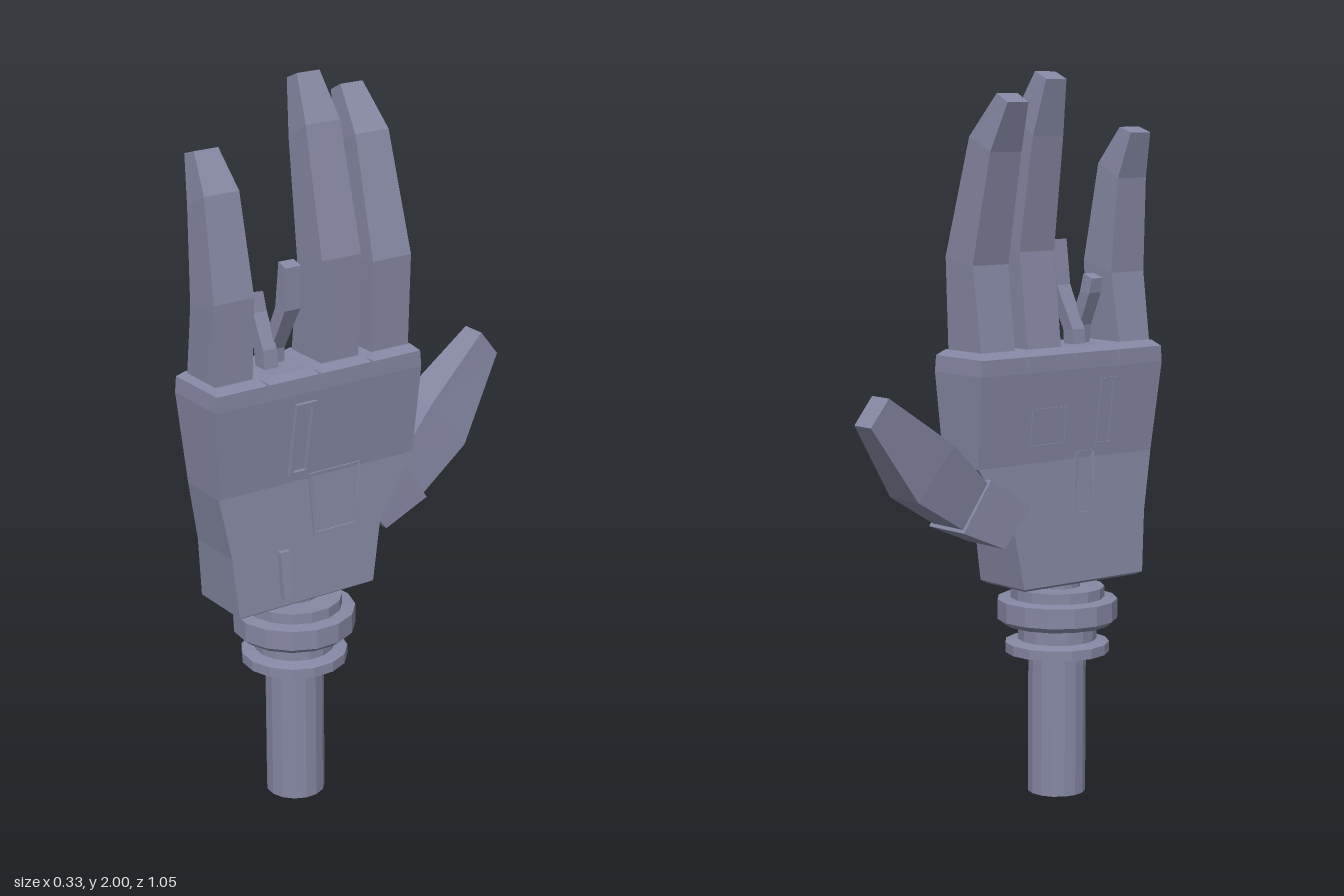
import * as THREE from 'three';

const metal = new THREE.MeshStandardMaterial({ color: 0x8688a4, flatShading: true });
metal.name = 'bluish grey metal';

// Joins cross-sections of equal point count into a closed solid.
function loft(rings) {
  const pos = [];
  const n = rings[0].length;
  const tri = (a, b, c) => pos.push(...a, ...b, ...c);
  for (let r = 0; r < rings.length - 1; r++) {
    const lo = rings[r], hi = rings[r + 1];
    for (let i = 0; i < n; i++) {
      const j = (i + 1) % n;
      tri(lo[i], lo[j], hi[j]);
      tri(lo[i], hi[j], hi[i]);
    }
  }
  const first = rings[0], last = rings[rings.length - 1];
  for (let i = 1; i < n - 1; i++) {
    tri(first[0], first[i + 1], first[i]);
    tri(last[0], last[i], last[i + 1]);
  }
  const geo = new THREE.BufferGeometry();
  geo.setAttribute('position', new THREE.Float32BufferAttribute(pos, 3));
  geo.computeVertexNormals();
  return geo;
}

// Upright section; ya and yb are the heights of its -x and +x edges.
const section = (xa, xb, z0, z1, ya, yb = ya) =>
  [[xa, ya, z1], [xb, yb, z1], [xb, yb, z0], [xa, ya, z0]];

// Thumb section between an upper and a lower [z, y] point.
const thumbSection = (xa, xb, up, low) => [
  [xb, low[1], low[0]], [xa, low[1], low[0]], [xa, up[1], up[0]], [xb, up[1], up[0]],
];

// Half thickness of the palm at a given height.
function palmHalf(y) {
  return y < 0.95
    ? THREE.MathUtils.mapLinear(y, 0.61, 0.95, 0.095, 0.076)
    : THREE.MathUtils.mapLinear(y, 0.95, 1.2, 0.076, 0.1);
}

// Raised frame with a sunken middle, following the slope of the palm face.
function palmPanel(side, corners, height, border) {
  const pts = corners.map(([z, y]) => new THREE.Vector2(-side * z, y));
  const mid = pts.reduce((s, p) => s.add(p), new THREE.Vector2()).divideScalar(4);
  const inner = pts.map((p) => new THREE.Vector2(
    p.x - Math.sign(p.x - mid.x) * border, p.y - Math.sign(p.y - mid.y) * border));
  const shape = new THREE.Shape(pts);
  shape.holes.push(new THREE.Path(inner));
  const geo = new THREE.ExtrudeGeometry(shape, { depth: height + 0.01, bevelEnabled: false });
  const p = geo.attributes.position;
  for (let i = 0; i < p.count; i++) {
    const a = p.getX(i), y = p.getY(i), c = p.getZ(i) - 0.01;
    p.setXYZ(i, side * (palmHalf(y) + c), y, -side * a);
  }
  geo.computeVertexNormals();
  return geo;
}

export function createModel() {
  const hand = new THREE.Group();
  hand.name = 'mechanicalHand';
  const add = (name, geo) => {
    const mesh = new THREE.Mesh(geo, metal);
    mesh.name = name;
    hand.add(mesh);
    return mesh;
  };

  // Wrist rod and stepped collar, fifteen-sided
  const turned = (name, profile) => {
    const geo = new THREE.LatheGeometry(
      profile.map(([r, y]) => new THREE.Vector2(r, y)), 15, -Math.PI / 2);
    add(name, geo).position.z = 0.227;
  };
  turned('wristRod', [[0, 0], [0.081, 0], [0.081, 0.41], [0, 0.41]]);
  turned('wristCollar', [
    [0, 0.4], [0.146, 0.4], [0.146, 0.428], [0.11, 0.436], [0.11, 0.475], [0.15, 0.48],
    [0.168, 0.495], [0.168, 0.55], [0.132, 0.555], [0.132, 0.585], [0.064, 0.585],
    [0.064, 0.61], [0, 0.61],
  ]);

  // Palm
  const palmLevels = [
    [0.61, 0.03, 0.46], [0.78, 0.0, 0.474], [0.95, -0.113, 0.505], [1.2, -0.123, 0.523],
  ];
  add('palm', loft([
    section(-0.083, 0.083, 0.042, 0.448, 0.602),
    ...palmLevels.map(([y, z0, z1]) => section(-palmHalf(y), palmHalf(y), z0, z1, y)),
  ]));

  // Bevelled knuckle blocks
  for (const [z0, z1] of [[-0.123, 0.036], [0.036, 0.202], [0.202, 0.362], [0.362, 0.523]]) {
    add('knuckle', loft([
      section(-0.1, 0.1, z0, z1, 1.2),
      section(-0.1, 0.1, z0 + 0.004, z1 - 0.004, 1.244),
      section(-0.08, 0.08, z0 + 0.02, z1 - 0.02, 1.26),
    ]));
  }

  // Curved fingers: each section is [xa, ya, xb, yb, half width]
  const fingers = {
    indexFinger: [-0.04, [
      [-0.07, 1.24, 0.072, 1.24, 0.058], [-0.036, 1.49, 0.08, 1.51, 0.061],
      [-0.1, 1.79, -0.012, 1.83, 0.053], [-0.15, 1.92, -0.105, 1.943, 0.035]]],
    middleFinger: [0.122, [
      [-0.07, 1.24, 0.072, 1.24, 0.058], [-0.034, 1.52, 0.082, 1.54, 0.061],
      [-0.08, 1.83, 0.0, 1.88, 0.053], [-0.113, 1.98, -0.066, 2.0, 0.035]]],
    littleFinger: [0.449, [
      [-0.07, 1.24, 0.072, 1.24, 0.055], [-0.036, 1.45, 0.079, 1.48, 0.06],
      [-0.052, 1.71, 0.03, 1.75, 0.052], [-0.086, 1.835, -0.04, 1.85, 0.036]]],
  };
  for (const [name, [z, levels]] of Object.entries(fingers)) {
    add(name, loft(levels.map(([xa, ya, xb, yb, w]) => section(xa, xb, z - w, z + w, ya, yb))));
  }

  // Exposed rods left where the ring finger is missing
  add('tallFingerRod', loft([
    section(-0.04, 0.0, 0.25, 0.295, 1.24), section(-0.035, 0.005, 0.25, 0.293, 1.3),
    section(0.02, 0.065, 0.24, 0.288, 1.42), section(0.033, 0.066, 0.238, 0.285, 1.545, 1.535),
  ]));
  add('shortFingerRod', loft([
    section(-0.01, 0.035, 0.288, 0.33, 1.24), section(-0.02, 0.025, 0.288, 0.33, 1.31),
    section(-0.06, -0.02, 0.288, 0.33, 1.4), section(-0.066, -0.03, 0.292, 0.33, 1.44, 1.452),
  ]));

  // Thumb root and bent thumb
  add('thumbRoot', loft([
    thumbSection(-0.1, 0.055, [0.05, 0.84], [-0.043, 0.732]),
    thumbSection(-0.1, 0.05, [-0.09, 0.924], [-0.183, 0.79]),
  ]));
  add('thumb', loft([
    thumbSection(-0.09, 0.04, [-0.088, 0.908], [-0.177, 0.798]),
    thumbSection(-0.123, 0.0, [-0.232, 1.033], [-0.35, 0.892]),
    thumbSection(-0.152, -0.08, [-0.465, 1.177], [-0.522, 1.105]),
  ]));

  // Service panels on both faces of the palm
  const panels = [
    ['upperSlot', 1, [[0.295, 0.97], [0.232, 0.97], [0.218, 1.175], [0.28, 1.175]], 0.012, 0.012],
    ['squarePanel', 1, [[0.218, 0.785], [0.078, 0.785], [0.064, 0.963], [0.228, 0.963]], 0.005, 0.01],
    ['squarePanel', -1, [[0.06, 0.99], [0.19, 0.99], [0.19, 1.1], [0.06, 1.1]], 0.004, 0.01],
    ['upperSlot', -1, [[0.295, 0.98], [0.35, 0.98], [0.355, 1.17], [0.3, 1.17]], 0.004, 0.01],
    ['lowerSlot', -1, [[0.21, 0.79], [0.285, 0.79], [0.29, 0.97], [0.225, 0.97]], 0.004, 0.012],
  ];
  for (const [name, side, corners, height, border] of panels) {
    add(name, palmPanel(side, corners, height, border));
  }

  // Small solid rib near the wrist
  add('wristRib', loft([
    section(0.06, 0.114, 0.3, 0.33, 0.635), section(0.06, 0.1, 0.303, 0.333, 0.768),
  ]));

  return hand;
}
